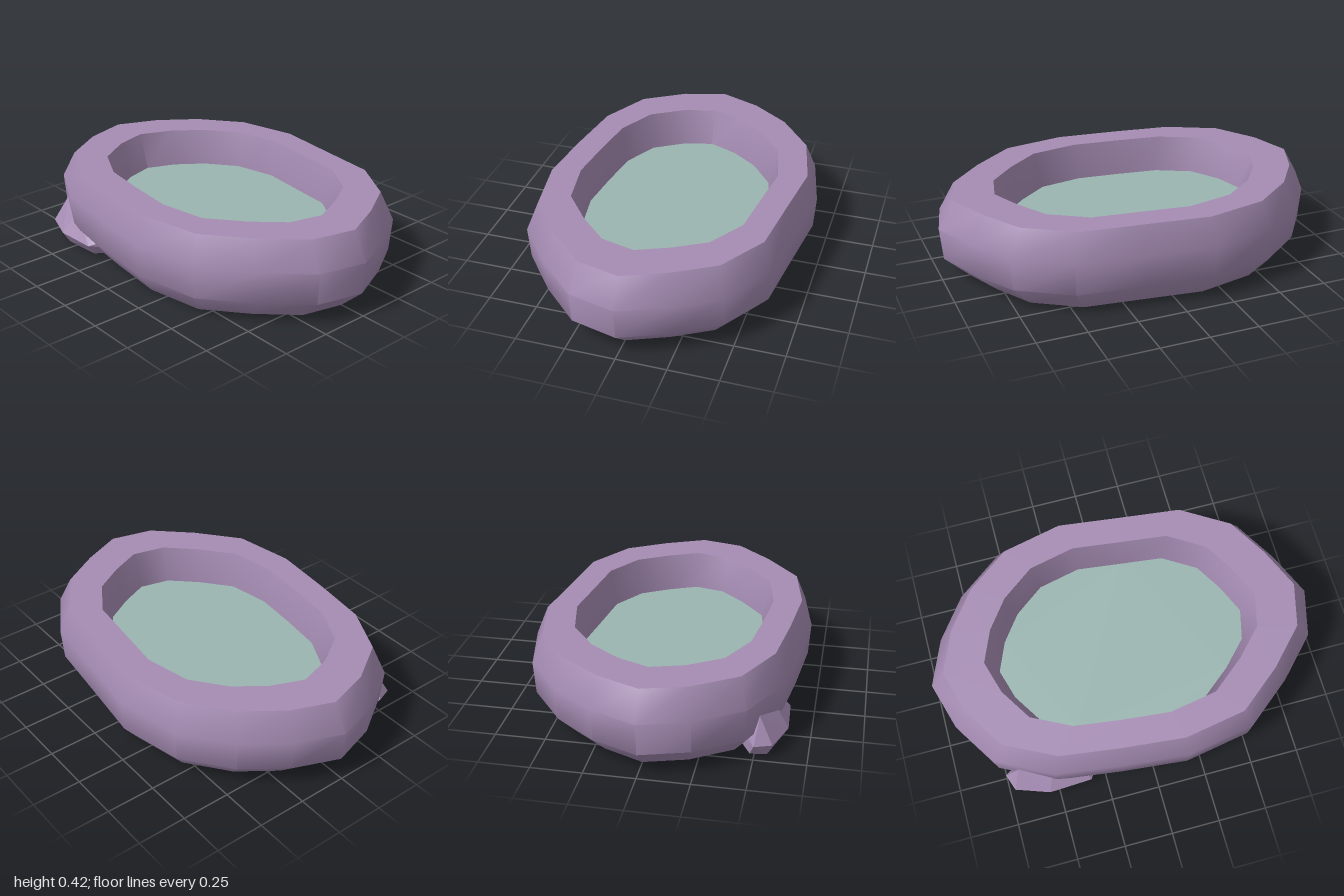
import * as THREE from 'three';
import { toCreasedNormals } from 'three/addons/utils/BufferGeometryUtils.js';
import { ConvexGeometry } from 'three/addons/geometries/ConvexGeometry.js';

// Irregular oval footprint (x, z), shared by every level of the basin
const outline = [
  [1, 0], [0.94, 0.24], [0.75, 0.44], [0.515, 0.63], [0.17, 0.69], [-0.18, 0.655],
  [-0.51, 0.61], [-0.785, 0.47], [-0.93, 0.24], [-1, 0], [-0.905, -0.23], [-0.75, -0.44],
  [-0.515, -0.62], [-0.18, -0.695], [0.17, -0.652], [0.51, -0.612], [0.77, -0.45], [0.9, -0.23],
];

// Wall cross-section (footprint scale, height), closed loop
const profile = [
  [0.86, 0], [0.985, 0.115], [1, 0.28], [0.92, 0.42],
  [0.71, 0.42], [0.65, 0.235], [0.65, 0],
];

function wallGeometry() {
  const positions = [];
  const point = (i, j) => {
    const [x, z] = outline[i % outline.length];
    const [s, y] = profile[j % profile.length];
    return [x * s, y, z * s];
  };
  for (let i = 0; i < outline.length; i++) {
    for (let j = 0; j < profile.length; j++) {
      const a = point(i, j), b = point(i + 1, j);
      const c = point(i + 1, j + 1), d = point(i, j + 1);
      positions.push(...a, ...d, ...b, ...b, ...d, ...c);
    }
  }
  const geometry = new THREE.BufferGeometry();
  geometry.setAttribute('position', new THREE.Float32BufferAttribute(positions, 3));
  return toCreasedNormals(geometry, THREE.MathUtils.degToRad(41));
}

export function createModel() {
  const stone = new THREE.MeshStandardMaterial({ color: 0xa58cb3 });
  stone.name = 'mauve stone';
  const waterColor = new THREE.MeshStandardMaterial({ color: 0x9ab5b0, side: THREE.DoubleSide });
  waterColor.name = 'pale green water';

  const group = new THREE.Group();
  group.name = 'pond';
  const add = (name, geometry, material) => {
    const mesh = new THREE.Mesh(geometry, material);
    mesh.name = name;
    group.add(mesh);
    return mesh;
  };

  // Rounded stone rim
  add('basinWall', wallGeometry(), stone);

  // Flat water surface inside the rim
  const shape = new THREE.Shape(outline.map(([x, z]) => new THREE.Vector2(x * 0.652, -z * 0.652)));
  const water = add('water', new THREE.ShapeGeometry(shape).rotateX(-Math.PI / 2), waterColor);
  water.position.y = 0.235;

  // Faceted rock pushed through the front wall
  const corners = [
    // outer end
    [-0.72, 0.07, 0.585], [-0.55, 0.07, 0.645], [-0.33, 0.07, 0.635], [-0.31, 0.07, 0.6],
    [-0.7, 0.008, 0.56], [-0.55, 0.008, 0.605], [-0.345, 0.008, 0.59],
    [-0.75, 0.07, 0.5], [-0.71, 0.008, 0.48],
    // top
    [-0.68, 0.195, 0.52], [-0.64, 0.212, 0.5], [-0.51, 0.19, 0.565], [-0.36, 0.15, 0.57],
    // inner end
    [-0.44, 0.17, 0.33], [-0.23, 0.17, 0.345], [-0.18, 0.14, 0.41],
    [-0.44, 0.03, 0.32], [-0.22, 0.03, 0.335], [-0.18, 0.03, 0.4],
  ].map((p) => new THREE.Vector3(...p));
  add('rock', new ConvexGeometry(corners), stone);

  return group;
}
